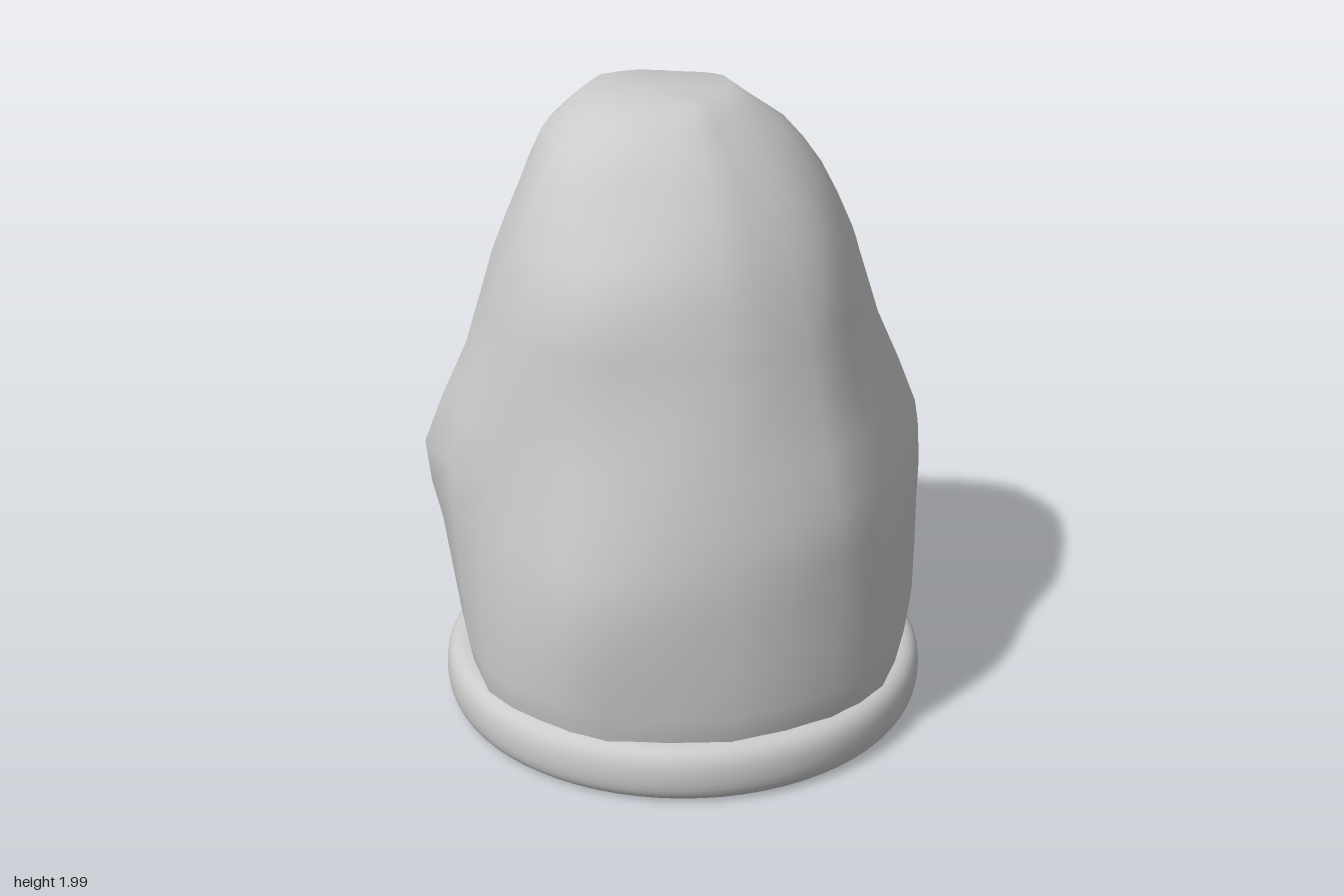
import * as THREE from 'three';

// Directions of the rock's ridges and hollows, in degrees from +x towards +z
const ANGLES = [0, 25, 45, 72, 102, 121, 140, 171, 208, 235, 260, 285, 305, 335];

// Cross-sections of the rock: height, then the radius in each direction
const SECTIONS = [
  [0.15, [.72, .73, .72, .71, .72, .71, .715, .68, .73, .68, .655, .665, .70, .78]],
  [0.27, [.74, .75, .74, .735, .745, .735, .735, .71, .75, .695, .645, .66, .715, .81]],
  [0.60, [.74, .745, .74, .735, .785, .74, .73, .755, .77, .70, .60, .61, .71, .81]],
  [0.87, [.72, .71, .735, .71, .73, .70, .70, .80, .79, .70, .585, .60, .70, .815]],
  [1.20, [.60, .60, .63, .65, .645, .65, .66, .66, .70, .69, .58, .59, .65, .67]],
  [1.50, [.53, .54, .54, .575, .62, .62, .60, .57, .62, .67, .575, .585, .60, .57]],
  [1.72, [.43, .43, .43, .46, .48, .51, .52, .48, .52, .53, .45, .455, .48, .46]],
  [1.88, [.30, .29, .30, .34, .365, .40, .42, .41, .42, .40, .32, .32, .34, .33]],
  [1.99, [.14, .13, .14, .20, .225, .25, .28, .29, .29, .25, .20, .20, .20, .16]],
];

// Passes a curve through the points and returns them with one extra point between each pair
function refine(points, closed) {
  const curve = new THREE.CatmullRomCurve3(points, closed, 'catmullrom', 0.35);
  const spans = closed ? points.length : points.length - 1;
  return Array.from({ length: spans * 2 + (closed ? 0 : 1) }, (_, i) => curve.getPoint(i / (spans * 2)));
}

function rockGeometry() {
  const rings = SECTIONS.map(([y, radii]) => refine(radii.map((r, k) => {
    const a = THREE.MathUtils.degToRad(ANGLES[k]);
    return new THREE.Vector3(r * Math.cos(a), y, r * Math.sin(a));
  }), true));
  const n = rings[0].length;
  const columns = Array.from({ length: n }, (_, j) => refine(rings.map((ring) => ring[j]), false));
  const m = columns[0].length;

  const points = columns.flat();
  const index = [];
  const crown = points.push(new THREE.Vector3(-0.08, 1.99, 0)) - 1;
  for (let j = 0; j < n; j++) {
    const a = j * m, b = ((j + 1) % n) * m;
    for (let i = 0; i < m - 1; i++) {
      index.push(a + i, a + i + 1, b + i, b + i, a + i + 1, b + i + 1);
    }
    index.push(a + m - 1, crown, b + m - 1);
  }
  const geometry = new THREE.BufferGeometry().setFromPoints(points);
  geometry.setIndex(index);
  geometry.computeVertexNormals();
  return geometry;
}

// Flat disc with a rounded rim
function baseGeometry() {
  const shape = new THREE.Path();
  shape.moveTo(0, 0);
  shape.lineTo(0.72, 0);
  shape.bezierCurveTo(0.75, 0, 0.772, 0.03, 0.772, 0.09);
  shape.bezierCurveTo(0.772, 0.15, 0.75, 0.18, 0.70, 0.18);
  shape.lineTo(0, 0.18);
  return new THREE.LatheGeometry(shape.getPoints(8), 72);
}

export function createModel() {
  const model = new THREE.Group();
  const material = new THREE.MeshStandardMaterial({ color: 0xcccccc });

  const base = new THREE.Mesh(baseGeometry(), material);
  base.name = 'base';
  base.position.x = 0.01;

  const rock = new THREE.Mesh(rockGeometry(), material);
  rock.name = 'rock';

  model.add(base, rock);
  return model;
}
